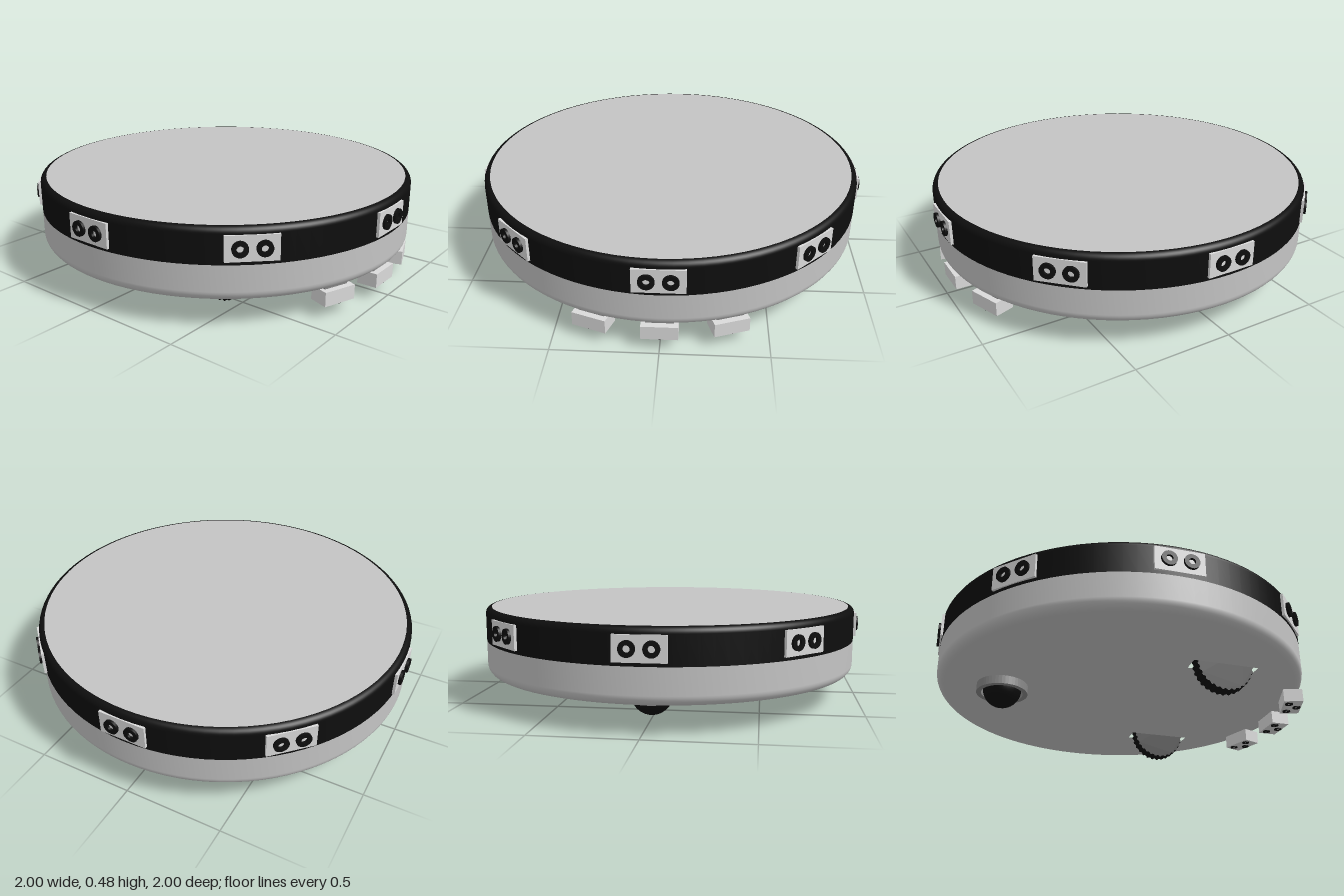
import * as THREE from 'three';

const mat = (name, color, extra = {}) => new THREE.MeshStandardMaterial({ name, color, ...extra });

export function createModel() {
  const shell = mat('shell grey', 0xc4c4c4);
  const black = mat('black', 0x0e0e0e);
  const pale = mat('sensor light grey', 0xdadada);
  const mid = mat('caster grey', 0x888888);

  const root = new THREE.Group();
  root.name = 'discRobot';

  const add = (parent, name, geo, material, x = 0, y = 0, z = 0) => {
    const mesh = new THREE.Mesh(geo, material);
    mesh.name = name;
    mesh.position.set(x, y, z);
    parent.add(mesh);
    return mesh;
  };
  const group = (name, angle) => {
    const g = new THREE.Group();
    g.name = name;
    g.rotation.y = angle;
    root.add(g);
    return g;
  };
  // Rounded profile: quarter arc points around (cx, cy)
  const arc = (cx, cy, r, a0, a1, n = 8) => Array.from({ length: n + 1 }, (_, i) => {
    const a = a0 + (a1 - a0) * i / n;
    return new THREE.Vector2(cx + r * Math.cos(a), cy + r * Math.sin(a));
  });
  // Flat ring extruded along +z
  const ring = (outer, inner, depth, seg) => {
    const s = new THREE.Shape().absarc(0, 0, outer, 0, Math.PI * 2);
    s.holes.push(new THREE.Path().absarc(0, 0, inner, 0, Math.PI * 2, true));
    return new THREE.ExtrudeGeometry(s, { depth, bevelEnabled: false, curveSegments: seg });
  };

  // Lower shell, upper band and top plate
  const R = 0.98;
  add(root, 'lowerShell', new THREE.LatheGeometry(
    [...arc(R - 0.05, 0.185, 0.05, -Math.PI / 2, 0), new THREE.Vector2(R, 0.31)], 96), shell);
  add(root, 'upperBand', new THREE.LatheGeometry(
    [new THREE.Vector2(R, 0.31), ...arc(R - 0.03, 0.45, 0.03, 0, Math.PI / 2)], 96), black);
  add(root, 'topPlate', new THREE.CircleGeometry(R - 0.03, 96), shell, 0, 0.48, 0)
    .rotation.x = -Math.PI / 2;

  // Floor with a slot for each drive wheel
  const wheelX = 0.515, wheelZ = 0.39, slotW = 0.045, slotL = 0.17;
  const floor = new THREE.Shape().absarc(0, 0, R - 0.05, 0, Math.PI * 2);
  for (const s of [-1, 1]) {
    const cx = s * wheelX;
    floor.holes.push(new THREE.Path([
      new THREE.Vector2(cx - slotW, wheelZ - slotL), new THREE.Vector2(cx - slotW, wheelZ + slotL),
      new THREE.Vector2(cx + slotW, wheelZ + slotL), new THREE.Vector2(cx + slotW, wheelZ - slotL),
    ]));
  }
  add(root, 'floor', new THREE.ShapeGeometry(floor, 48), shell, 0, 0.135, 0).rotation.x = Math.PI / 2;

  // Treaded drive wheels
  const teeth = 30, tread = [];
  for (let i = 0; i < teeth * 4; i++) {
    const a = (i + 0.5) / (teeth * 4) * Math.PI * 2;
    const r = i % 4 < 2 ? 0.15 : 0.143;
    tread.push(new THREE.Vector2(r * Math.cos(a), r * Math.sin(a)));
  }
  const wheelGeo = new THREE.ExtrudeGeometry(new THREE.Shape(tread), { depth: 0.07, bevelEnabled: false });
  wheelGeo.translate(0, 0, -0.035).rotateY(Math.PI / 2);
  add(root, 'leftWheel', wheelGeo, black, wheelX, 0.15, wheelZ);
  add(root, 'rightWheel', wheelGeo, black, -wheelX, 0.15, wheelZ);

  // Rear ball caster
  add(root, 'casterCollar', ring(0.133, 0.108, 0.05, 24), mid, 0, 0.14, -0.64).rotation.x = Math.PI / 2;
  add(root, 'casterBall', new THREE.SphereGeometry(0.1, 32, 20), black, 0, 0.115, -0.64);

  // Eight twin-eye distance sensors around the band
  const eyeGeo = ring(0.037, 0.016, 0.013, 20);
  for (let i = 0; i < 8; i++) {
    const g = group('rangeSensor', i * Math.PI / 4);
    add(g, 'sensorPlate', new THREE.BoxGeometry(0.24, 0.12, 0.04), pale, 0, 0.387, 0.966);
    for (const s of [-1, 1]) {
      add(g, 'sensorEye', eyeGeo, black, s * 0.053, 0.387, 0.986);
    }
  }

  // Three floor sensors under the front edge
  const dotGeo = ring(0.021, 0.008, 0.004, 16);
  for (const i of [-1, 0, 1]) {
    const g = group('floorSensor', i * 0.342);
    add(g, 'floorSensorBox', new THREE.BoxGeometry(0.17, 0.07, 0.1), pale, 0, 0.095, 0.925);
    add(g, 'floorSensorMount', new THREE.BoxGeometry(0.13, 0.02, 0.06), mid, 0, 0.138, 0.915);
    for (const [x, z] of [[-0.05, -0.02], [0.05, -0.02], [0, 0.026]]) {
      add(g, 'floorSensorEye', dotGeo, black, x, 0.06, 0.925 + z).rotation.x = Math.PI / 2;
    }
  }
  return root;
}
